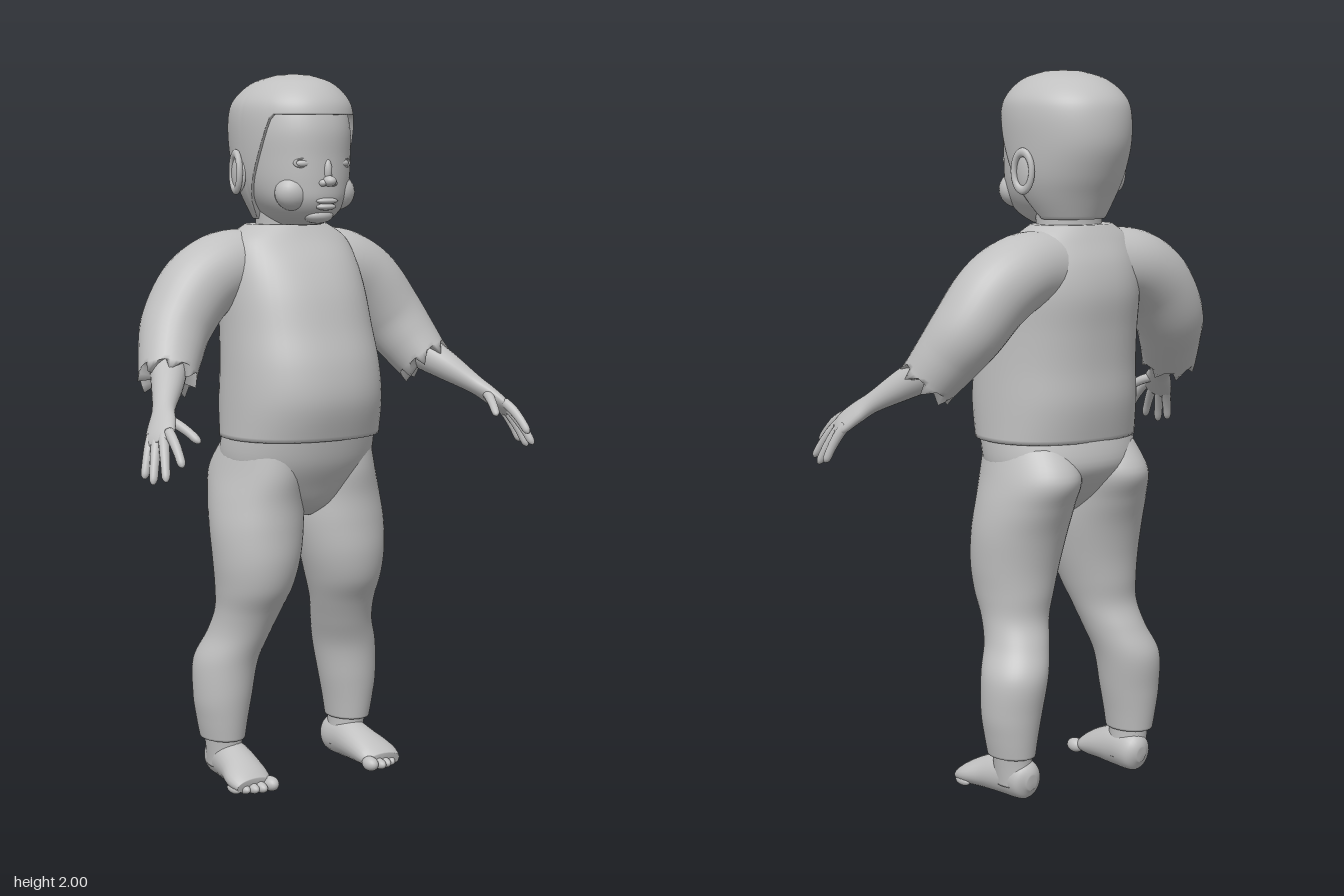
import * as THREE from 'three';
import { mergeVertices } from 'three/addons/utils/BufferGeometryUtils.js';

// Catmull-Rom sample of a list of section rows at fractional index t
function sample(rows, t) {
  const n = rows.length - 1;
  const i = Math.min(Math.floor(t), n - 1), f = t - i;
  const [a, b, c, d] = [i - 1, i, i + 1, i + 2].map(k => rows[Math.max(0, Math.min(n, k))]);
  return b.map((_, k) => 0.5 * (2 * b[k] + (c[k] - a[k]) * f
    + (2 * a[k] - 5 * b[k] + 4 * c[k] - d[k]) * f * f
    + (3 * b[k] - a[k] - 3 * c[k] + d[k]) * f * f * f));
}

// Smooth closed skin over nu x nv points; point(u, v) gives a Vector3
function skin(nu, nv, point) {
  const pos = [], idx = [];
  for (let j = 0; j <= nv; j++)
    for (let i = 0; i < nu; i++) pos.push(...point(i, j).toArray());
  for (let j = 0; j < nv; j++)
    for (let i = 0; i < nu; i++) {
      const k = (i + 1) % nu;
      const a = j * nu + i, b = j * nu + k, c = b + nu, d = a + nu;
      idx.push(a, b, c, a, c, d);
    }
  const g = new THREE.BufferGeometry();
  g.setAttribute('position', new THREE.Float32BufferAttribute(pos, 3));
  g.setIndex(idx);
  const merged = mergeVertices(g, 1e-5);
  merged.computeVertexNormals();
  return merged;
}

const power = (v, e) => Math.sign(v) * Math.pow(Math.abs(v), 2 / e);

// Horizontal sections from bottom to top: [y, x, z, rx, rz]
function loft(rows, e = 2, nu = 48, steps = 6) {
  const nv = (rows.length - 1) * steps;
  return skin(nu, nv + 2, (i, j) => {
    const [y, x, z, rx, rz] = sample(rows, Math.max(0, Math.min(nv, j - 1)) / steps);
    const r = j === 0 || j === nv + 2 ? 0 : 1, a = i / nu * Math.PI * 2;
    return new THREE.Vector3(x + r * rx * power(Math.sin(a), e), y, z + r * rz * power(Math.cos(a), e));
  });
}

// Sections square to a path: [x, y, z, rN, rB]; rN lies along ref; jag roughens the far rim
function limb(rows, ref, jag = 0, nu = 24, steps = 6) {
  const nv = (rows.length - 1) * steps;
  const at = t => new THREE.Vector3(...sample(rows, Math.max(0, Math.min(rows.length - 1, t))));
  return skin(nu, nv + 2, (i, j) => {
    const t = Math.max(0, Math.min(nv, j - 1)) / steps;
    const row = sample(rows, t);
    const T = at(t + 0.05).sub(at(t - 0.05)).normalize();
    const N = ref.clone().addScaledVector(T, -ref.dot(T)).normalize();
    const B = T.clone().cross(N);
    const r = j === 0 || j === nv + 2 ? 0 : 1, a = i / nu * Math.PI * 2;
    const p = new THREE.Vector3(row[0], row[1], row[2])
      .addScaledVector(N, r * row[3] * Math.cos(a))
      .addScaledVector(B, r * row[4] * Math.sin(a));
    if (j === nv + 1) p.addScaledVector(T, jag * ((i % 4) / 2 - 0.75));
    return p;
  });
}

export function createModel() {
  const model = new THREE.Group();
  model.name = 'toddler';
  const grey = new THREE.MeshStandardMaterial({ color: 0xc0c0c0 });
  grey.name = 'plain grey';
  const add = (name, geo) => {
    const m = new THREE.Mesh(geo, grey);
    m.name = name;
    model.add(m);
    return m;
  };
  const blob = (name, x, y, z, rx, ry, rz) => {
    const m = add(name, new THREE.SphereGeometry(1, 24, 16));
    m.position.set(x, y, z);
    m.scale.set(rx, ry, rz);
    return m;
  };

  // Shirt body, neck and hips
  add('shirt', loft([
    [0.995, 0, -0.045, 0.232, 0.188], [1.1, 0, -0.04, 0.228, 0.212], [1.2, 0, -0.045, 0.222, 0.208],
    [1.3, 0, -0.065, 0.215, 0.195], [1.4, 0, -0.087, 0.21, 0.183], [1.48, 0, -0.102, 0.2, 0.155],
    [1.545, 0, -0.112, 0.178, 0.115], [1.585, 0, -0.115, 0.12, 0.09]], 2.25));
  add('neck', loft([[1.5, 0, -0.11, 0.1, 0.085], [1.58, 0, -0.105, 0.095, 0.082], [1.66, 0, -0.1, 0.1, 0.09]]));
  add('hips', loft([
    [0.765, 0, -0.04, 0.03, 0.04], [0.8, 0, -0.045, 0.1, 0.09], [0.86, 0, -0.06, 0.19, 0.14],
    [0.93, 0, -0.065, 0.224, 0.18], [1.02, 0, -0.045, 0.222, 0.182]], 2.15));

  // Head
  add('face', loft([
    [1.585, 0, -0.06, 0.06, 0.085], [1.61, 0, -0.052, 0.092, 0.122], [1.65, 0, -0.055, 0.122, 0.152],
    [1.7, 0, -0.07, 0.14, 0.172], [1.77, 0, -0.08, 0.148, 0.182], [1.85, 0, -0.085, 0.15, 0.185],
    [1.92, 0, -0.09, 0.135, 0.165], [1.97, 0, -0.085, 0.09, 0.11]], 2.1));

  // Hair cap: each column starts at its own hairline and has a tucked-in rim
  const hair = [
    [1.6, 0, -0.105, 0.1, 0.098], [1.66, 0, -0.093, 0.135, 0.137], [1.72, 0, -0.09, 0.155, 0.17],
    [1.8, 0, -0.09, 0.164, 0.198], [1.88, 0, -0.09, 0.166, 0.197], [1.93, 0, -0.088, 0.152, 0.178],
    [1.975, 0, -0.083, 0.105, 0.125], [1.996, 0, -0.078, 0.045, 0.054]];
  const cols = 96, rowsN = 32;
  add('hair', skin(cols, rowsN + 2, (i, j) => {
    const a = i / cols * Math.PI * 2;
    const f = THREE.MathUtils.clamp((-0.09 + 0.197 * Math.cos(a) + 0.09) / 0.115, 0, 1);
    const start = f > 0 ? 0.3 + 3.8 * f : 0;
    const v = Math.max(0, Math.min(rowsN, j - 1)) / rowsN;
    const [y, x, z, rx, rz] = sample(hair, start + (7 - start) * v);
    const r = j === 0 ? 0.86 : j === rowsN + 2 ? 0 : 1;
    return new THREE.Vector3(x + r * rx * Math.sin(a), j === rowsN + 2 ? 2 : y, z + r * rz * Math.cos(a));
  }));

  // Nose, lips and chin
  blob('noseBridge', 0, 1.735, 0.092, 0.014, 0.035, 0.02);
  blob('noseTip', 0, 1.707, 0.108, 0.018, 0.015, 0.022);
  blob('upperLip', 0, 1.653, 0.095, 0.034, 0.009, 0.018);
  blob('lowerLip', 0, 1.637, 0.09, 0.03, 0.01, 0.02);
  blob('chin', 0, 1.612, 0.05, 0.045, 0.022, 0.034);

  for (const s of [1, -1]) {
    const side = s > 0 ? 'left' : 'right';
    const flip = rows => rows.map(([x, ...rest]) => [x * s, ...rest]);
    const flipY = rows => rows.map(([y, x, ...rest]) => [y, x * s, ...rest]);
    const V = (x, y, z) => new THREE.Vector3(x * s, y, z);

    // Eye with lid rim, nostril, cheek
    blob(side + 'Eye', s * 0.066, 1.755, 0.076, 0.022, 0.011, 0.012).rotation.y = s * 0.4;
    const lid = add(side + 'Eyelid', new THREE.TorusGeometry(0.024, 0.005, 8, 28));
    lid.position.set(s * 0.066, 1.756, 0.08);
    lid.scale.set(1, 0.5, 1);
    lid.rotation.y = s * 0.4;
    blob(side + 'Nostril', s * 0.017, 1.702, 0.1, 0.011, 0.01, 0.014);
    blob(side + 'Cheek', s * 0.07, 1.675, 0.035, 0.055, 0.05, 0.046);

    // Ear
    blob(side + 'Ear', s * 0.158, 1.725, -0.11, 0.012, 0.052, 0.034);
    const rim = add(side + 'EarRim', new THREE.TorusGeometry(0.036, 0.009, 10, 32));
    rim.position.set(s * 0.166, 1.73, -0.112);
    rim.rotation.y = s * (Math.PI / 2 + 0.2);
    rim.scale.set(0.88, 1.4, 1);

    // Sleeve, forearm and hand
    add(side + 'Sleeve', limb(flip([
      [0.09, 1.47, -0.14, 0.095, 0.1], [0.19, 1.462, -0.14, 0.108, 0.105], [0.28, 1.41, -0.135, 0.108, 0.107],
      [0.352, 1.32, -0.118, 0.103, 0.1], [0.395, 1.245, -0.08, 0.09, 0.09], [0.428, 1.18, -0.04, 0.082, 0.078]]),
      V(0, 0, 1), 0.03, 32));
    const spread = V(0.43, -0.31, -0.85);
    add(side + 'Forearm', limb(flip([
      [0.38, 1.26, -0.1, 0.05, 0.055], [0.42, 1.21, -0.045, 0.052, 0.052], [0.465, 1.165, 0.025, 0.044, 0.042],
      [0.515, 1.115, 0.095, 0.033, 0.027], [0.542, 1.085, 0.133, 0.042, 0.023], [0.566, 1.055, 0.165, 0.046, 0.019],
      [0.578, 1.037, 0.182, 0.036, 0.012]]), spread));
    const fingers = [
      ['IndexFinger', [0.554, 1.062, 0.198], [0.566, 0.99, 0.285]],
      ['MiddleFinger', [0.566, 1.052, 0.184], [0.602, 0.952, 0.262]],
      ['RingFinger', [0.575, 1.046, 0.164], [0.616, 0.94, 0.218]],
      ['LittleFinger', [0.58, 1.044, 0.142], [0.62, 0.95, 0.178]],
      ['Thumb', [0.53, 1.092, 0.13], [0.487, 1.042, 0.238]]];
    for (const [name, p, q] of fingers) {
      const row = (t, r, lift) => [
        p[0] + (q[0] - p[0]) * t, p[1] + (q[1] - p[1]) * t + lift, p[2] + (q[2] - p[2]) * t, r, r];
      add(side + name, limb(flip([row(-0.1, 0.014, 0), row(0.3, 0.014, 0.008), row(0.65, 0.0125, 0.007),
        row(0.9, 0.011, 0.001), row(1, 0.004, 0)]), spread, 0, 12, 4));
    }

    // Trouser leg
    add(side + 'Leg', loft(flipY([
      [0.125, 0.215, -0.12, 0.061, 0.076], [0.18, 0.216, -0.12, 0.071, 0.083], [0.25, 0.214, -0.12, 0.083, 0.091],
      [0.35, 0.203, -0.12, 0.091, 0.1], [0.43, 0.176, -0.094, 0.088, 0.097], [0.5, 0.16, -0.067, 0.094, 0.098],
      [0.57, 0.151, -0.05, 0.108, 0.118], [0.65, 0.144, -0.046, 0.123, 0.13], [0.74, 0.137, -0.057, 0.132, 0.14],
      [0.82, 0.13, -0.074, 0.128, 0.155], [0.9, 0.12, -0.085, 0.117, 0.174], [0.985, 0.112, -0.06, 0.1, 0.145]])));

    // Ankle, foot and toes
    add(side + 'Ankle', loft(flipY([[0.04, 0.204, -0.12, 0.05, 0.07], [0.09, 0.21, -0.12, 0.049, 0.062],
      [0.15, 0.214, -0.12, 0.052, 0.066]])));
    add(side + 'Foot', limb(flip([
      [0.2, 0.055, -0.194, 0.016, 0.022], [0.2, 0.058, -0.17, 0.046, 0.054], [0.204, 0.06, -0.1, 0.053, 0.06],
      [0.21, 0.05, -0.03, 0.059, 0.05], [0.22, 0.036, 0.03, 0.065, 0.036], [0.22, 0.026, 0.066, 0.056, 0.022]]),
      V(1, 0, 0)));
    for (let k = 0; k < 5; k++) {
      const r = k === 0 ? 0.021 : 0.0165 - k * 0.0008;
      const x = k === 0 ? 0.17 : 0.18 + k * 0.0225;
      blob(side + 'Toe' + (k + 1), s * x, r + 0.004, 0.07 - k * k * 0.0022, r, r, 0.03);
    }
  }
  return model;
}
